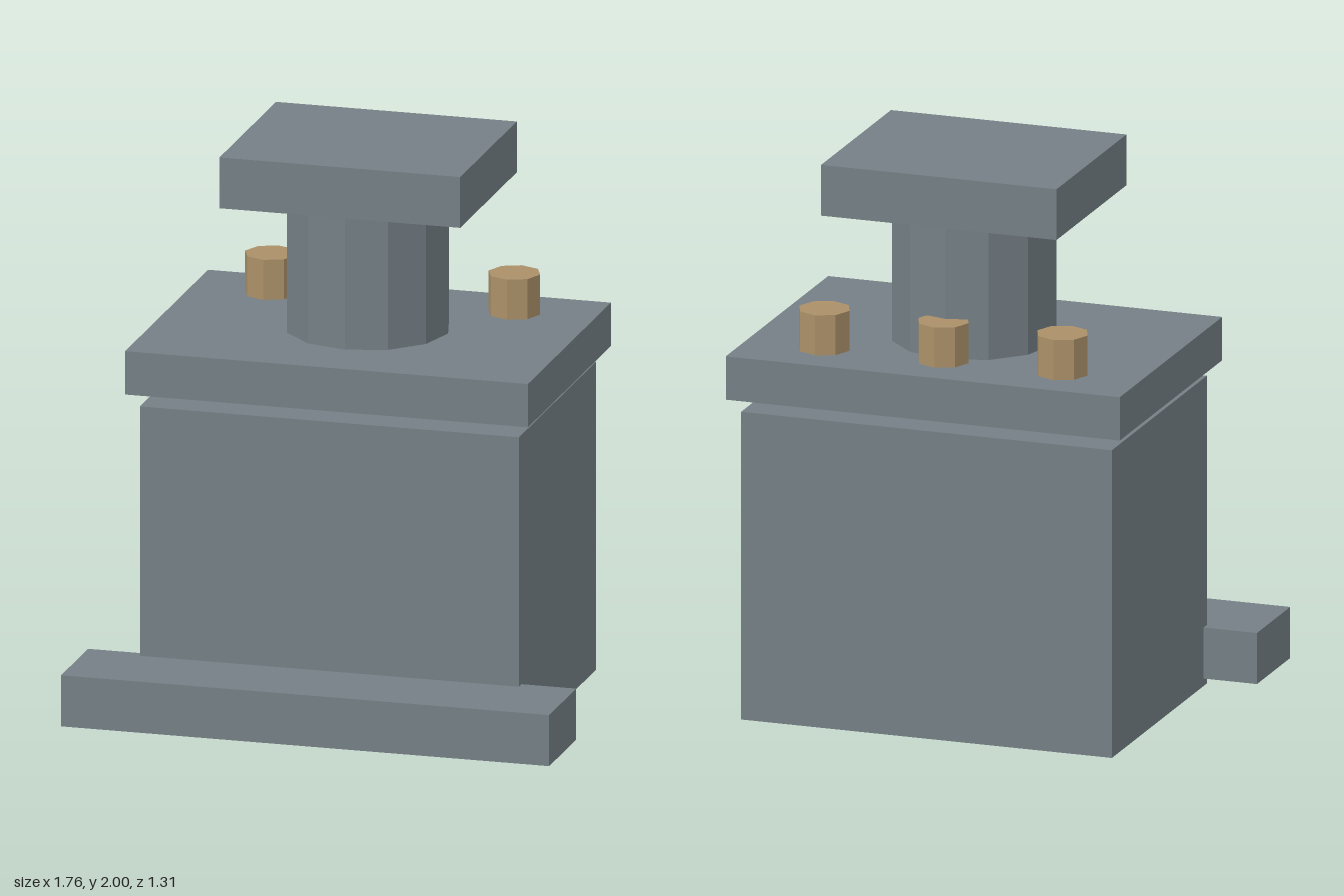
import * as THREE from 'three';

export function createModel() {
  const model = new THREE.Group();
  model.name = 'pedestalBox';

  const steel = new THREE.MeshStandardMaterial({ color: 0x747f85 });
  steel.name = 'steel grey';
  const brass = new THREE.MeshStandardMaterial({ color: 0xaa9068 });
  brass.name = 'dull brass';

  const add = (name, geometry, material, x, y, z) => {
    const mesh = new THREE.Mesh(geometry, material);
    mesh.name = name;
    mesh.position.set(x, y, z);
    model.add(mesh);
  };

  // Box centred on x, given its width and its y and z ranges
  const block = (name, width, y0, y1, z0, z1) =>
    add(name, new THREE.BoxGeometry(width, y1 - y0, z1 - z0), steel,
      0, (y0 + y1) / 2, (z0 + z1) / 2);

  // Faceted upright prism; the flat normals come from non-indexed triangles
  const prism = (name, radius, sides, y0, y1, x, z, material) => {
    const geometry = new THREE.CylinderGeometry(radius, radius, y1 - y0, sides).toNonIndexed();
    geometry.computeVertexNormals();
    add(name, geometry, material, x, (y0 + y1) / 2, z);
  };

  // Main body, front bar, floating lid and top cap
  block('body', 1.37, 0, 1.115, -0.615, 0.35);
  block('frontBar', 1.764, 0.027, 0.212, 0.317, 0.655);
  block('lid', 1.456, 1.165, 1.322, -0.653, 0.387);
  block('cap', 0.87, 1.816, 2, -0.49, 0.22);

  // Neck between lid and cap
  prism('neck', 0.29, 12, 1.322, 1.816, 0, -0.132, steel);

  // Row of studs along the back of the lid
  for (const x of [-0.44, 0, 0.44]) {
    prism('stud', 0.093, 8, 1.322, 1.467, x, -0.443, brass);
  }

  return model;
}
